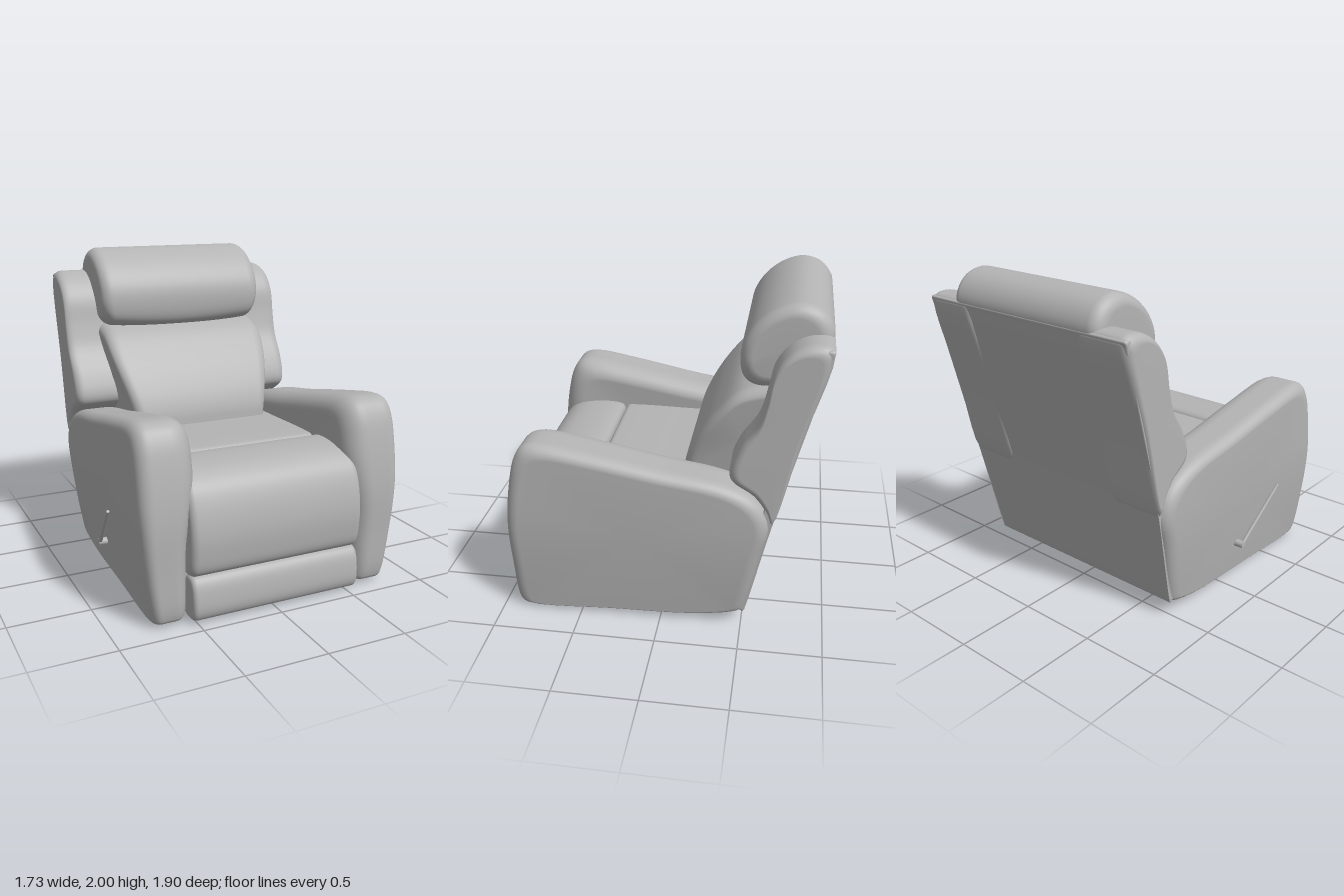
import * as THREE from 'three';

const upholstery = new THREE.MeshStandardMaterial({ color: 0xb4b4b4 });
upholstery.name = 'grey upholstery';

const lerp = THREE.MathUtils.lerp;

// Padded solid: a closed side profile of [z, y] points swept along x, with both ends rounded.
// r0, r1: edge radii at the low and high x ends; low: rounding strength on the lower half.
function pad(name, pts, x0, x1, r0, r1, { low = 1, warp = null } = {}) {
  const curve = new THREE.CatmullRomCurve3(pts.map(([z, y]) => new THREE.Vector3(0, y, z)), true, 'centripetal');
  let ring = curve.getPoints(pts.length * 5).slice(0, -1);
  const area = ring.reduce((s, p, i) => {
    const q = ring[(i + 1) % ring.length];
    return s + p.z * q.y - q.z * p.y;
  }, 0);
  if (area < 0) ring = ring.reverse();
  const box = new THREE.Box3().setFromPoints(ring);
  const c = box.getCenter(new THREE.Vector3());
  const h = box.getSize(new THREE.Vector3()).multiplyScalar(0.5);

  // stations along x with the inset of the profile at each
  const stations = [];
  const K = 7, M = 10;
  for (let k = 0; k <= K; k++) {
    const a = (1 - k / K) * Math.PI / 2;
    stations.push([x0 + r0 - r0 * Math.sin(a), r0 * (1 - Math.cos(a))]);
  }
  for (let k = 1; k < M; k++) stations.push([lerp(x0 + r0, x1 - r1, k / M), 0]);
  for (let k = 0; k <= K; k++) {
    const a = k / K * Math.PI / 2;
    stations.push([x1 - r1 + r1 * Math.sin(a), r1 * (1 - Math.cos(a))]);
  }

  const pos = [], idx = [], n = ring.length, last = stations.length - 1;
  const put = (x, y, z) => {
    const v = new THREE.Vector3(x, y, z);
    if (warp) warp(v);
    pos.push(v.x, v.y, v.z);
  };
  stations.forEach(([x, inset]) => ring.forEach(p => {
    const ky = p.y < c.y ? low : 1;
    put(x, c.y + (p.y - c.y) * (1 - inset * ky / h.y), c.z + (p.z - c.z) * (1 - inset / h.z));
  }));
  put(x0, c.y, c.z);
  put(x1, c.y, c.z);
  const capA = n * (last + 1), capB = capA + 1;
  for (let j = 0; j < n; j++) {
    const j2 = (j + 1) % n;
    for (let i = 0; i < last; i++) {
      const a = i * n + j, b = i * n + j2;
      idx.push(a, a + n, b, b, a + n, b + n);
    }
    idx.push(capA, j, j2, capB, last * n + j2, last * n + j);
  }
  const g = new THREE.BufferGeometry();
  g.setAttribute('position', new THREE.Float32BufferAttribute(pos, 3));
  g.setIndex(idx);
  g.computeVertexNormals();
  return mesh(name, g);
}

function mesh(name, geometry) {
  const m = new THREE.Mesh(geometry, upholstery);
  m.name = name;
  return m;
}

function tube(name, points, r) {
  const path = new THREE.CatmullRomCurve3(points.map(p => new THREE.Vector3(...p)), false, 'centripetal');
  return mesh(name, new THREE.TubeGeometry(path, points.length * 8, r, 10));
}

function rod(name, a, b, rA, rB) {
  const A = new THREE.Vector3(...a), d = new THREE.Vector3(...b).sub(A);
  const m = mesh(name, new THREE.CylinderGeometry(rB, rA, d.length(), 14));
  m.position.copy(A).addScaledVector(d, 0.5);
  m.quaternion.setFromUnitVectors(new THREE.Vector3(0, 1, 0), d.normalize());
  return m;
}

export function createModel() {
  const model = new THREE.Group();
  model.name = 'recliner';
  const chair = new THREE.Group();
  chair.name = 'chairBody';
  chair.position.x = 0.015;
  model.add(chair);

  // Arms: x runs 0..1 across the arm, then is mapped to its inner and outer faces
  const armProfile = [[0.87, 0.02], [0.9, 0.05], [0.92, 0.35], [0.925, 0.65], [0.89, 0.93], [0.85, 1.08],
    [0.8, 1.15], [0.72, 1.173], [0.4, 1.125], [0, 1.045], [-0.38, 0.975], [-0.54, 0.9], [-0.62, 0.81],
    [-0.645, 0.7], [-0.6, 0.5], [-0.525, 0.16], [-0.5, 0.095], [-0.44, 0.07], [-0.2, 0.035], [0.3, 0.025]];
  // Wings beside the backrest
  const wingProfile = [[-0.945, 1.79], [-0.925, 1.83], [-0.83, 1.84], [-0.72, 1.79], [-0.635, 1.68], [-0.595, 1.5],
    [-0.55, 1.35], [-0.455, 1.2], [-0.405, 1.06], [-0.42, 1.0], [-0.55, 0.91], [-0.63, 0.8], [-0.66, 0.73], [-0.8, 1.26]];
  for (const s of [1, -1]) {
    const side = s > 0 ? 'left' : 'right';
    const armWarp = v => {
      const t = (v.x - 0.49) / 0.355;
      const inner = lerp(0.55, 0.49, THREE.MathUtils.smoothstep(v.y, 0.4, 0.9));
      const outer = 0.77 + 0.075 * Math.sin(Math.min(1, v.y / 0.8) * Math.PI / 2) - 0.03 * (0.8 - v.z) / 1.4;
      v.x = lerp(inner, outer, t);
    };
    const mirrored = f => v => { v.x *= s; if (f) f(v); v.x *= s; };
    const span = (a, b, ra, rb) => s > 0 ? [a, b, ra, rb] : [-b, -a, rb, ra];
    chair.add(pad(side + 'Arm', armProfile, ...span(0.49, 0.845, 0.13, 0.08), { low: 0.25, warp: mirrored(armWarp) }));
    chair.add(pad(side + 'Wing', wingProfile, ...span(0.42, 0.79, 0.05, 0.06)));
  }

  // Flat upholstered rear, slightly narrower at the bottom
  chair.add(pad('backPanel', [[-0.5, 0.09], [-0.505, 0.085], [-0.52, 0.13], [-0.655, 0.7], [-0.94, 1.785], [-0.945, 1.815],
    [-0.91, 1.82], [-0.87, 1.75], [-0.58, 0.7], [-0.45, 0.12]], -0.775, 0.775, 0.015, 0.015,
  { warp: v => { v.x *= lerp(0.955, 1, Math.min(1, v.y / 0.9)); } }));

  // Back cushion, flaring towards the top
  chair.add(pad('backCushion', [[-0.12, 0.8], [-0.105, 0.9], [-0.13, 1.02], [-0.2, 1.17], [-0.3, 1.32], [-0.42, 1.45],
    [-0.54, 1.5], [-0.75, 1.52], [-0.8, 1.45], [-0.68, 0.98], [-0.6, 0.8]], -0.57, 0.57, 0.08, 0.08,
  { warp: v => { v.x *= lerp(0.83, 1, THREE.MathUtils.smoothstep(v.y, 0.85, 1.42)); } }));

  // Rolled headrest with a sagging lower edge
  chair.add(pad('headrest', [[-0.75, 2], [-0.62, 1.96], [-0.51, 1.87], [-0.445, 1.76], [-0.43, 1.65], [-0.45, 1.56],
    [-0.5, 1.515], [-0.6, 1.5], [-0.76, 1.52], [-0.87, 1.66], [-0.945, 1.81], [-0.925, 1.9], [-0.86, 1.97]],
  -0.58, 0.58, 0.075, 0.075, {
    warp: v => {
      const k = 1 - THREE.MathUtils.smoothstep(v.y, 1.49, 1.68);
      v.y -= 0.035 * k * (1 - (v.x / 0.58) ** 2);
      v.x *= 1 - 0.035 * k;
    },
  }));

  // Seat, leg pad and lower front panel
  chair.add(pad('seat', [[0.45, 0.83], [0.43, 0.865], [0.38, 0.872], [0, 0.872], [-0.4, 0.865], [-0.5, 0.85],
    [-0.5, 0.4], [-0.48, 0.3], [0.4, 0.3], [0.45, 0.35]], -0.54, 0.54, 0.02, 0.02));
  chair.add(pad('legPad', [[0.45, 0.82], [0.465, 0.865], [0.52, 0.885], [0.68, 0.885], [0.79, 0.86], [0.87, 0.8], [0.92, 0.7],
    [0.95, 0.55], [0.948, 0.42], [0.925, 0.31], [0.88, 0.275], [0.8, 0.27], [0.5, 0.27], [0.45, 0.32]],
  -0.56, 0.56, 0.045, 0.045));
  chair.add(pad('frontPanel', [[0.9, 0.275], [0.93, 0.24], [0.948, 0.16], [0.948, 0.07], [0.925, 0.025], [0.87, 0.01],
    [0.81, 0.015], [0.79, 0.05], [0.79, 0.22], [0.82, 0.275]], -0.55, 0.55, 0.03, 0.03));

  // Recessed underside
  const under = mesh('underside', new THREE.BoxGeometry(1.16, 0.2, 1.28));
  under.position.set(0, 0.2, 0.17);
  chair.add(under);

  // Base frame: two rails with bent feet, joined by cross bars
  for (const s of [1, -1]) {
    const x = 0.43 * s;
    chair.add(tube('baseRail', [[x, 0.013, -0.345], [x, 0.013, -0.3], [x, 0.045, -0.28], [x, 0.055, -0.25],
      [x, 0.055, 0.68], [x, 0.045, 0.71], [x, 0.013, 0.74], [x, 0.013, 0.79]], 0.013));
  }
  for (const z of [-0.14, 0.62]) chair.add(rod('crossBar', [-0.43, 0.07, z], [0.43, 0.07, z], 0.014, 0.014));

  // Recline lever on the right side
  const lever = new THREE.Group();
  lever.name = 'reclineLever';
  lever.add(rod('leverHub', [-0.73, 0.245, 0.12], [-0.825, 0.245, 0.12], 0.026, 0.022));
  lever.add(rod('leverHandle', [-0.812, 0.235, 0.11], [-0.86, 0.57, 0.44], 0.013, 0.009));
  model.add(lever);
  return model;
}
